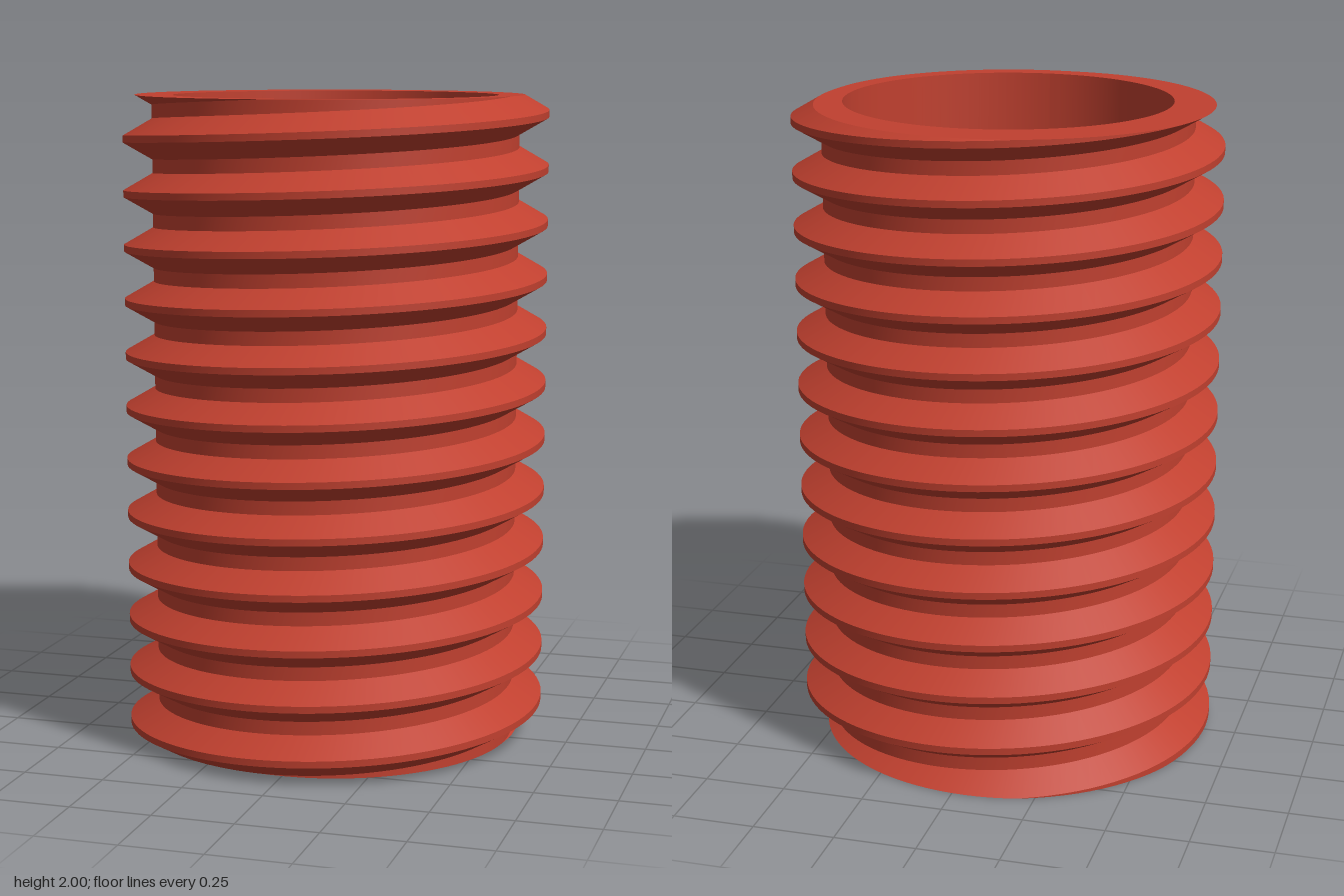
import * as THREE from 'three';

const HEIGHT = 2, PITCH = 1 / 6, CREST = 0.655, ROOT = 0.565, BORE = 0.5;
const PHASE = 0.065; // crest height at the front
const SEG = 96;      // steps per turn

// Thread radius at height y, after a number of turns from the front
function threadRadius(y, turn) {
  const d = (y - PHASE) / PITCH - turn;
  const off = Math.abs(d - Math.round(d));
  const t = THREE.MathUtils.clamp((off - 1 / 16) / (5 / 16), 0, 1);
  return THREE.MathUtils.lerp(CREST, ROOT, t);
}

// Ribbon winding around the axis between two edges, each giving [radius, y]
function ribbon(from, to, lower, upper) {
  const pos = [], index = [];
  const steps = Math.round((to - from) * SEG);
  let before = false;
  for (let i = 0; i <= steps; i++) {
    const turn = from + i / SEG, a = turn * Math.PI * 2;
    const edges = [lower(turn), upper(turn)];
    for (const [r, y] of edges) pos.push(Math.sin(a) * r, y, Math.cos(a) * r);
    const [[r0, y0], [r1, y1]] = edges;
    const open = Math.abs(r0 - r1) + Math.abs(y0 - y1) > 1e-7;
    const k = 2 * (i - 1);
    if (i > 0 && (open || before)) {
      if (before) index.push(k, k + 3, k + 1);
      if (open) index.push(k, k + 2, k + 3);
    }
    before = open;
  }
  const geo = new THREE.BufferGeometry();
  geo.setAttribute('position', new THREE.Float32BufferAttribute(pos, 3));
  geo.setIndex(index);
  geo.computeVertexNormals();
  return geo;
}

export function createModel() {
  const group = new THREE.Group();
  group.name = 'threadedTube';
  const red = new THREE.MeshStandardMaterial({ color: 0xc0402f });
  red.name = 'red';
  const add = (name, geo) => {
    const mesh = new THREE.Mesh(geo, red);
    mesh.name = name;
    group.add(mesh);
  };

  // Helical thread faces, trimmed flat at both ends
  const helix = (offset) => (turn) => {
    const y = THREE.MathUtils.clamp(PHASE + PITCH * (turn + offset), 0, HEIGHT);
    return [threadRadius(y, turn), y];
  };
  const faces = [
    ['threadLowerFlank', -3 / 8, -1 / 16],
    ['threadCrest', -1 / 16, 1 / 16],
    ['threadUpperFlank', 1 / 16, 3 / 8],
    ['threadRoot', 3 / 8, 5 / 8],
  ];
  for (const [name, lo, hi] of faces) add(name, ribbon(-2, 13, helix(lo), helix(hi)));

  // Smooth bore and the flat end rings
  const inner = (y) => () => [BORE, y];
  const outer = (y) => (turn) => [threadRadius(y, turn), y];
  add('bore', ribbon(0, 1, inner(HEIGHT), inner(0)));
  add('topRing', ribbon(0, 1, outer(HEIGHT), inner(HEIGHT)));
  add('bottomRing', ribbon(0, 1, inner(0), outer(0)));
  return group;
}
